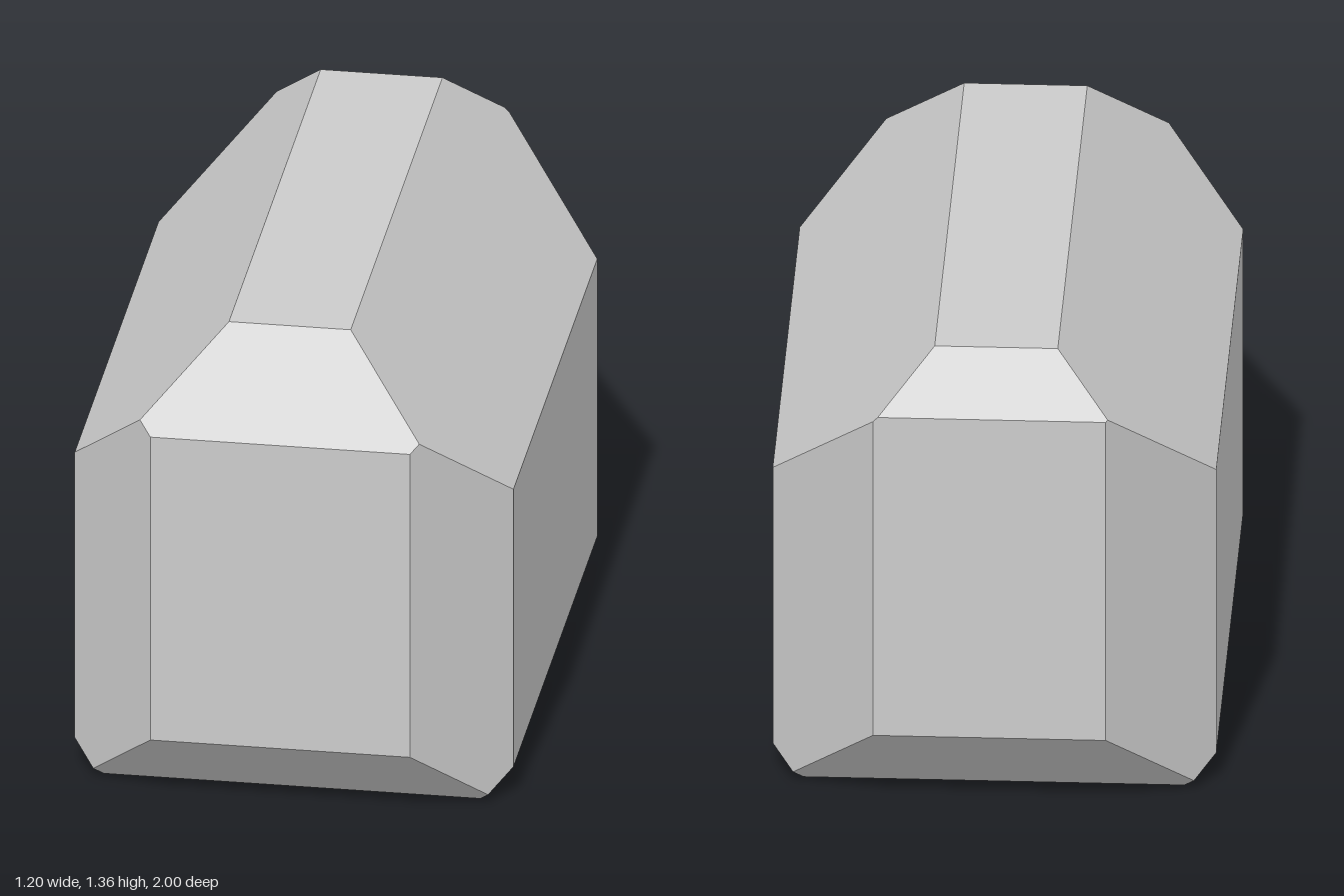
import * as THREE from 'three';
import { ConvexGeometry } from 'three/addons/geometries/ConvexGeometry.js';

// Block cut from 18 planes: [nx, ny, nz, d] keeps nx*x + ny*y + nz*z <= d
const cuts = [
  // six flat sides
  [1, 0, 0, 0.6], [-1, 0, 0, 0.6],
  [0, 1, 0, 1.36], [0, -1, 0, 0],
  [0, 0, 1, 1], [0, 0, -1, 1],
  // 45 degree bevels along the length
  [1, 1, 0, 1.515], [-1, 1, 0, 1.538],
  [1, -1, 0, 0.515], [-1, -1, 0, 0.515],
  // bevels across the front and back ends
  [0, 1, 1, 2.116], [0, -1, 1, 0.79],
  [0, 1, -1, 2.213], [0, -1, -1, 0.745],
  // upright corner bevels
  [1, 0, 1, 1.355], [-1, 0, 1, 1.355],
  [1, 0, -1, 1.315], [-1, 0, -1, 1.315],
];

// Corners: every point where three planes meet that lies inside all the others
function cornersOf(planes) {
  const corners = [];
  const m = new THREE.Matrix3();
  for (let i = 0; i < planes.length; i++)
    for (let j = i + 1; j < planes.length; j++)
      for (let k = j + 1; k < planes.length; k++) {
        const [a, b, c] = [planes[i], planes[j], planes[k]];
        m.set(a[0], a[1], a[2], b[0], b[1], b[2], c[0], c[1], c[2]);
        if (Math.abs(m.determinant()) < 1e-6) continue;
        const p = new THREE.Vector3(a[3], b[3], c[3]).applyMatrix3(m.invert());
        const inside = planes.every(([x, y, z, d]) => x * p.x + y * p.y + z * p.z <= d + 1e-6);
        if (inside && !corners.some((q) => q.distanceTo(p) < 1e-4)) corners.push(p);
      }
  return corners;
}

export function createModel() {
  const group = new THREE.Group();
  group.name = 'bevelledBlock';
  const material = new THREE.MeshStandardMaterial({ color: 0xcccccc, flatShading: true });
  const body = new THREE.Mesh(new ConvexGeometry(cornersOf(cuts)), material);
  body.name = 'body';
  group.add(body);
  return group;
}
